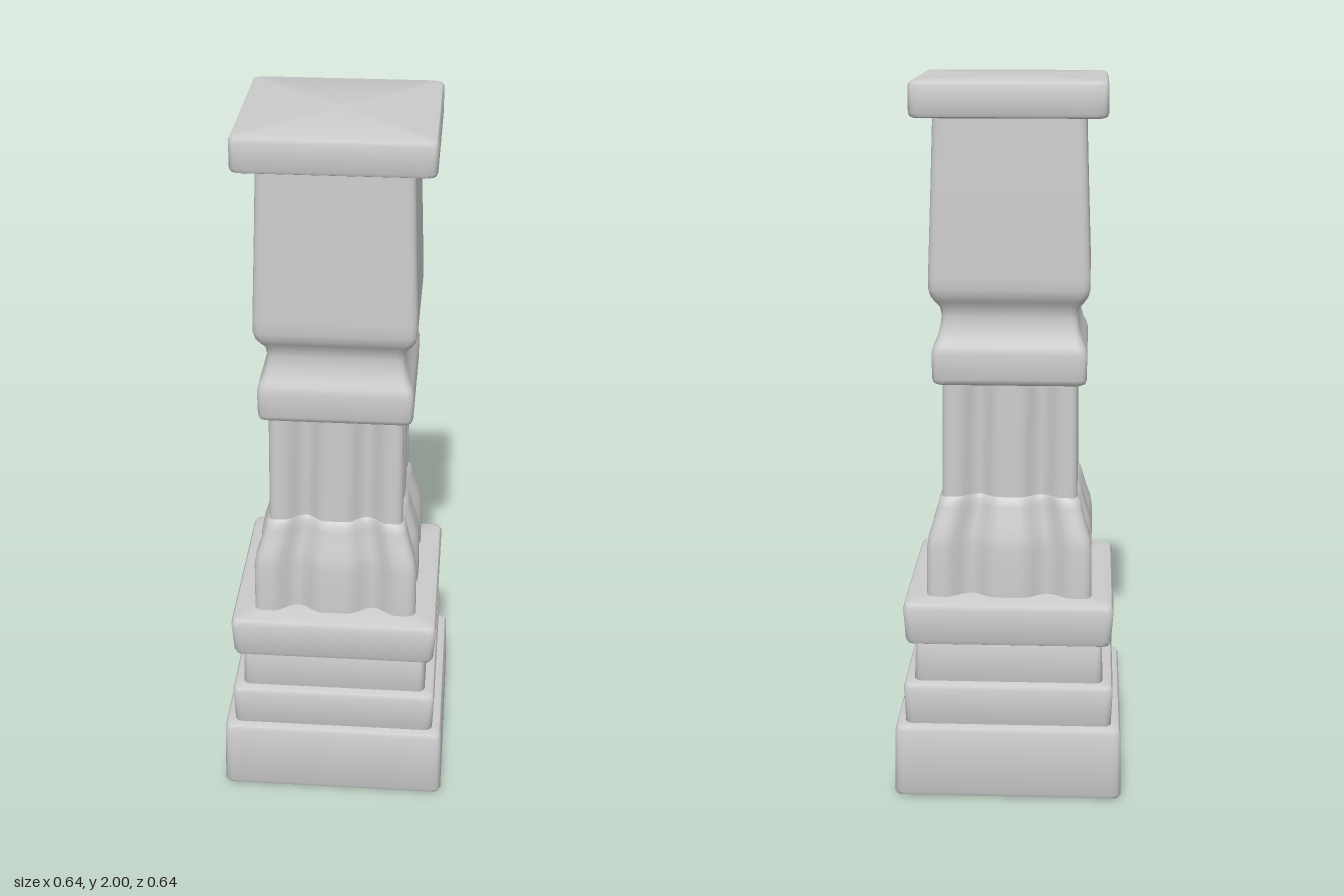
import * as THREE from 'three';
import { toCreasedNormals } from 'three/addons/utils/BufferGeometryUtils.js';

const SIDE = 24, ARC = 4;

// Rounded-square outline; 'flute' presses two grooves into every side.
function section(half, radius, flute) {
  const points = [];
  const flat = half - radius;
  for (let k = 0; k < 4; k++) {
    const a = k * Math.PI / 2, c = Math.cos(a), s = Math.sin(a);
    const add = (u, d) => points.push([u * c + d * s, -u * s + d * c]);
    for (let i = 0; i <= SIDE; i++) {
      const t = -1 + 2 * i / SIDE;
      const g = Math.max(0, 1 - Math.abs(Math.abs(t) - 0.52) / 0.34);
      add(t * flat, half - flute * g * g * (3 - 2 * g));
    }
    for (let i = 1; i < ARC; i++) {
      const b = i / ARC * Math.PI / 2;
      add(flat + radius * Math.sin(b), flat + radius * Math.cos(b));
    }
  }
  return points;
}

// Closed loft through rings of [y, half width, corner radius, flute depth].
function loft(rings) {
  const pos = [], index = [];
  const n = 4 * (SIDE + ARC);
  for (const [y, half, radius = 0.02, flute = 0] of rings) {
    for (const [x, z] of section(half, radius, flute)) pos.push(x, y, z);
  }
  for (let r = 0; r < rings.length - 1; r++) {
    for (let i = 0; i < n; i++) {
      const a = r * n + i, b = r * n + (i + 1) % n;
      index.push(a, b, b + n, a, b + n, a + n);
    }
  }
  const bottom = pos.length / 3, top = bottom + 1, last = (rings.length - 1) * n;
  pos.push(0, rings[0][0], 0, 0, rings[rings.length - 1][0], 0);
  for (let i = 0; i < n; i++) {
    const j = (i + 1) % n;
    index.push(bottom, j, i, top, last + i, last + j);
  }
  const geometry = new THREE.BufferGeometry();
  geometry.setAttribute('position', new THREE.Float32BufferAttribute(pos, 3));
  geometry.setIndex(index);
  return toCreasedNormals(geometry, 0.75);
}

// Square slab with softly worn edges.
function slab(y0, y1, lower, upper = lower, bevel = 0.015) {
  const k = bevel * 0.3;
  return [
    [y0, lower - bevel], [y0 + k, lower - k], [y0 + bevel, lower],
    [y1 - bevel, upper], [y1 - k, upper - k], [y1, upper - bevel],
  ];
}

export function createModel() {
  const pillar = new THREE.Group();
  pillar.name = 'pillar';
  const stone = new THREE.MeshStandardMaterial({ color: 0xcccccc });

  const parts = {
    // Stepped pedestal
    plinth: slab(0, 0.213, 0.322, 0.318),
    lowerStep: slab(0.2, 0.333, 0.291, 0.295),
    pedestalNeck: slab(0.32, 0.46, 0.266, 0.262),
    upperStep: slab(0.446, 0.573, 0.288, 0.294, 0.018),
    // Bulging fluted foot
    flutedFoot: [
      [0.56, 0.232, 0.025, 0.038], [0.71, 0.231, 0.025, 0.04],
      [0.745, 0.226, 0.025, 0.04], [0.785, 0.213, 0.025, 0.038],
      [0.825, 0.202, 0.025, 0.035], [0.846, 0.197, 0.025, 0.033],
      [0.855, 0.189, 0.025, 0.033],
    ],
    flutedShaft: [[0.84, 0.189, 0.02, 0.036], [1.19, 0.186, 0.02, 0.036]],
    // Collar, waist and tapering block form one carved piece
    collarAndBlock: [
      [1.178, 0.2], [1.183, 0.208], [1.195, 0.212], [1.265, 0.213],
      [1.285, 0.208], [1.3, 0.2], [1.335, 0.19], [1.365, 0.186],
      [1.39, 0.19], [1.41, 0.205], [1.425, 0.214], [1.445, 0.219],
      [1.48, 0.219], [1.7, 0.211], [1.91, 0.204],
    ],
    capSlab: slab(1.903, 2, 0.262, 0.262, 0.013),
  };

  for (const [name, rings] of Object.entries(parts)) {
    const mesh = new THREE.Mesh(loft(rings), stone);
    mesh.name = name;
    pillar.add(mesh);
  }
  return pillar;
}
